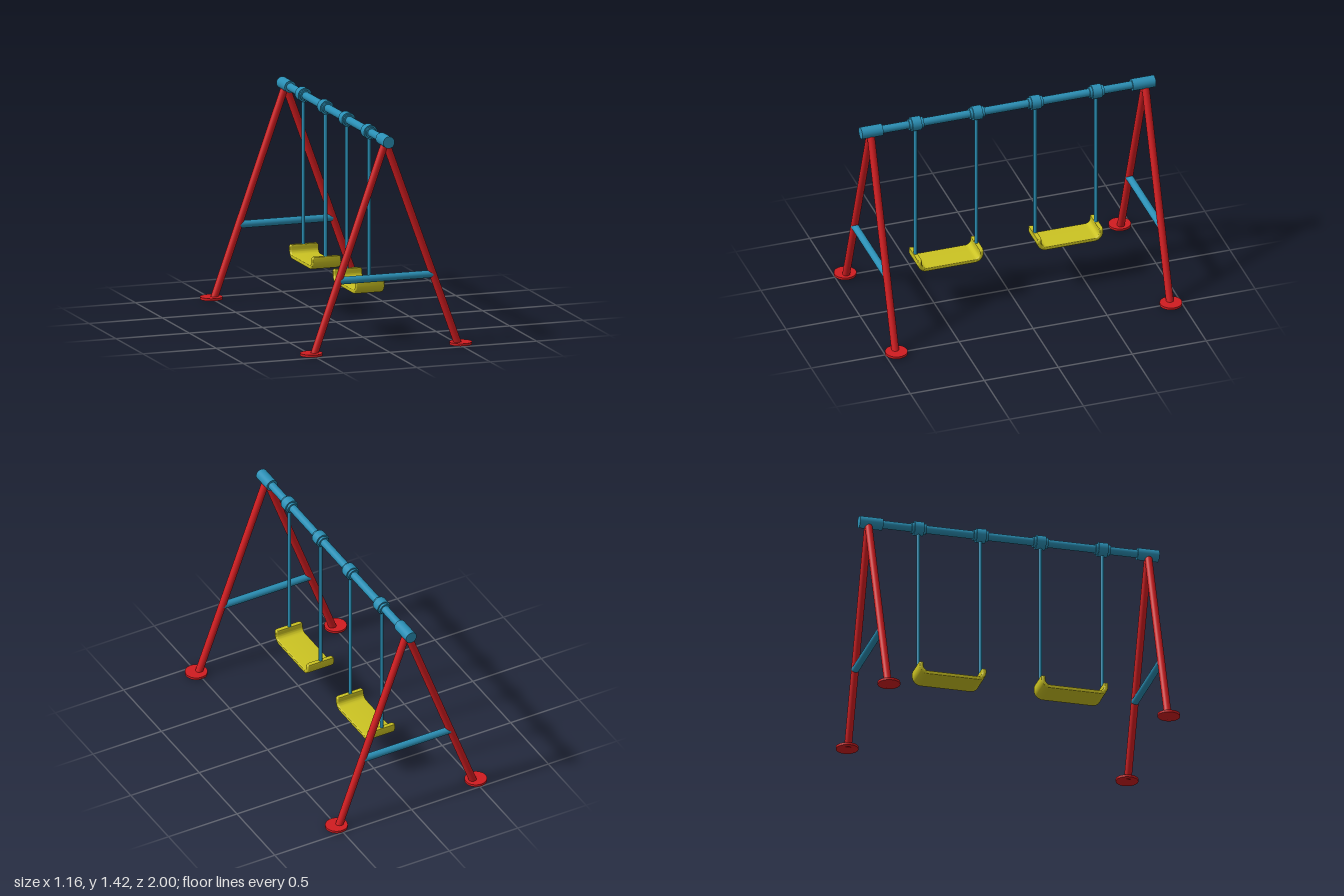
import * as THREE from 'three';
import { toCreasedNormals } from 'three/addons/utils/BufferGeometryUtils.js';

const paint = (color) => new THREE.MeshStandardMaterial({ color });

export function createModel() {
  const model = new THREE.Group();
  const red = paint(0xd01c20), blue = paint(0x2a8fb5), yellow = paint(0xcbc322);
  const beamY = 1.371, beamX = -0.004;

  function add(name, geometry, material, parent = model) {
    const mesh = new THREE.Mesh(geometry, material);
    mesh.name = name;
    parent.add(mesh);
    return mesh;
  }

  // Cylinder between two points
  function bar(name, from, to, radius, material, parent) {
    const a = new THREE.Vector3(...from), b = new THREE.Vector3(...to);
    const mesh = add(name, new THREE.CylinderGeometry(radius, radius, a.distanceTo(b), 32), material, parent);
    mesh.position.copy(a).add(b).multiplyScalar(0.5);
    mesh.quaternion.setFromUnitVectors(new THREE.Vector3(0, 1, 0), b.sub(a).normalize());
    return mesh;
  }

  const beamPart = (name, z0, z1, radius, parent) =>
    bar(name, [beamX, beamY, z0], [beamX, beamY, z1], radius, blue, parent);

  // Top beam and its end sleeves
  beamPart('topBeam', -0.97, 0.97, 0.026);
  beamPart('frontSleeve', 0.853, 0.995, 0.039);
  beamPart('backSleeve', -0.99, -0.836, 0.039);

  // A-frames with feet and a cross brace
  for (const [side, z] of [['front', 0.928], ['back', -0.928]]) {
    const frame = new THREE.Group();
    frame.name = side + 'Frame';
    model.add(frame);
    for (const s of [-1, 1]) {
      bar('leg', [s * 0.49, 0.009, z], [beamX, beamY - 0.005, z], 0.0245, red, frame);
      bar('foot', [s * 0.509, 0.004, z], [s * 0.509, 0.02, z], 0.0725, red, frame);
    }
    bar('crossBrace', [-0.325, 0.477, z], [0.325, 0.477, z], 0.0242, blue, frame);
  }

  // Seat: a rounded slab bent up at both ends, with softened corners
  function seatGeometry() {
    const w = 0.098, t = 0.0135, r = 0.009;
    const flat = 0.163, bend = 0.045, lip = 0.028;
    const arc = bend * Math.PI / 2, half = flat + arc + lip;
    const section = new THREE.Shape();
    section.absarc(w - r, t - r, r, 0, Math.PI / 2);
    section.absarc(r - w, t - r, r, Math.PI / 2, Math.PI);
    section.absarc(r - w, r - t, r, Math.PI, Math.PI * 1.5);
    section.absarc(w - r, r - t, r, Math.PI * 1.5, Math.PI * 2);
    const geo = new THREE.ExtrudeGeometry(section, { depth: half * 2, steps: 80, bevelEnabled: false, curveSegments: 4 });
    geo.translate(0, 0, -half);
    const p = geo.attributes.position;
    for (let i = 0; i < p.count; i++) {
      const s = Math.abs(p.getZ(i)), sign = Math.sign(p.getZ(i)), up = p.getY(i);
      const near = Math.max(0, (s - half + 0.015) / 0.015);
      const narrow = 1 - 0.1 * (1 - Math.sqrt(Math.max(0, 1 - near * near)));
      const angle = Math.min(Math.max((s - flat) / bend, 0), Math.PI / 2);
      const z = Math.min(s, flat) + bend * Math.sin(angle) - up * Math.sin(angle);
      const y = bend * (1 - Math.cos(angle)) + Math.max(0, s - flat - arc) + up * Math.cos(angle);
      p.setXYZ(i, p.getX(i) * narrow, y, sign * z);
    }
    return toCreasedNormals(geo, 0.7);
  }

  // Two swings, each hung on a pair of rods with stepped clamps
  const seat = seatGeometry();
  for (const [side, z] of [['front', 0.418], ['back', -0.39]]) {
    const swing = new THREE.Group();
    swing.name = side + 'Swing';
    model.add(swing);
    add('seat', seat, yellow, swing).position.set(0, 0.3215, z);
    for (const s of [-1, 1]) {
      const rz = z + s * 0.206;
      bar('hangingRod', [beamX, 0.375, rz], [beamX, beamY, rz], 0.0115, blue, swing);
      beamPart('clampCollar', rz - 0.048, rz + 0.048, 0.036, swing);
      beamPart('clampRing', rz - 0.031, rz + 0.031, 0.046, swing);
    }
  }
  return model;
}
